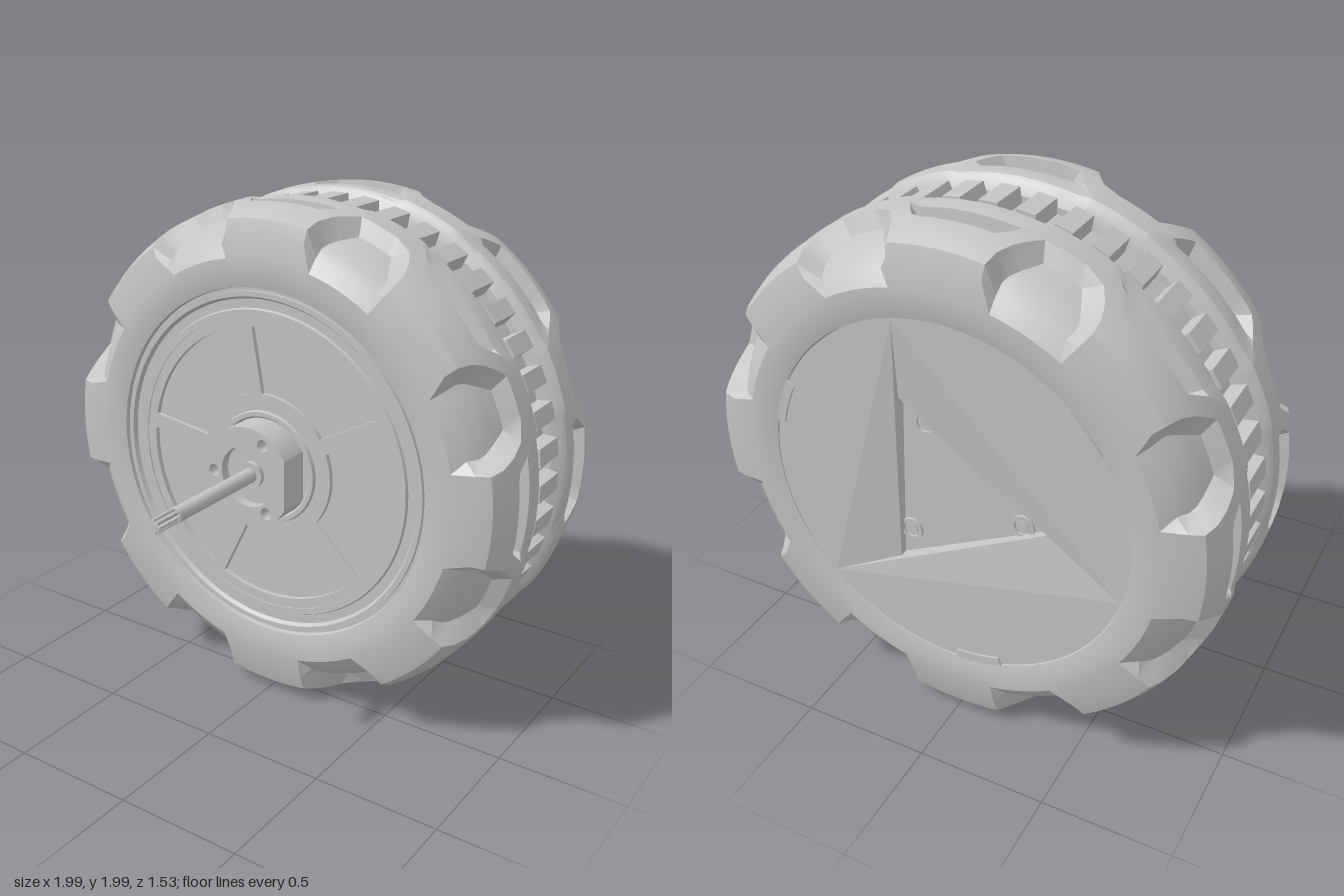
import * as THREE from 'three';
import { toCreasedNormals } from 'three/addons/utils/BufferGeometryUtils.js';

const grey = new THREE.MeshStandardMaterial({ color: 0xc4c4c4 });
grey.name = 'light grey plastic';
const TAU = Math.PI * 2, RAD = Math.PI / 180, LUGS = 8;

function add(parent, name, geometry, x = 0, y = 0, z = 0) {
  const mesh = new THREE.Mesh(geometry, grey);
  mesh.name = name;
  mesh.position.set(x, y, z);
  parent.add(mesh);
  return mesh;
}

// Cylinder along z, from z0 to z1
function rod(parent, name, r, z0, z1, x = 0, y = 0, sides = 48) {
  const g = new THREE.CylinderGeometry(r, r, z1 - z0, sides).rotateX(Math.PI / 2);
  return add(parent, name, g, x, y, (z0 + z1) / 2);
}

// Profile of [radius, z] turned about the z axis, listed from outside to centre
function turned(parent, name, profile) {
  const g = new THREE.LatheGeometry(profile.map(p => new THREE.Vector2(...p)), 96).rotateX(Math.PI / 2);
  return add(parent, name, toCreasedNormals(g, 0.4));
}

function disc(r) {
  return new THREE.Shape().absarc(0, 0, r, 0, TAU, false);
}

function circleHole(x, y, r) {
  return new THREE.Path().absarc(x, y, r, 0, TAU, true);
}

function extrude(shape, depth, curveSegments = 48) {
  return new THREE.ExtrudeGeometry(shape, { depth, bevelEnabled: false, curveSegments });
}

// Ring sector with edges parallel to its middle spokes
function sector(path, r0, r1, a0, a1, gap) {
  const o = gap / r1, i = gap / r0;
  path.absarc(0, 0, r1, a0 + o, a1 - o, false);
  path.absarc(0, 0, r0, a1 - i, a0 + i, true);
  path.closePath();
  return path;
}

// Tyre half: rows run from the rim over the shoulder and crown to the inner wall.
// Each row: radius, z, pocket depth, pocket half angle, notch half angle, notch floor radius and z.
// The pocket is a slot closed towards the middle by a slightly lower bar.
const ROWS = [
  [0.695, 0.09, 0, 9, 11, 0.695, 0.09],
  [0.70, 0.118, 0, 9, 11, 0.70, 0.118],
  [0.75, 0.13, 0, 9, 11, 0.75, 0.13],
  [0.81, 0.128, 0, 9, 11, 0.81, 0.128],
  [0.90, 0.115, 0, 9, 11.5, 0.86, 0.092],
  [0.95, 0.10, 0, 8.5, 11.8, 0.888, 0.055],
  [0.975, 0.05, 0, 8.5, 11.2, 0.904, 0.03],
  [0.99, 0.00, 0, 8.5, 9.8, 0.92, 0.00],
  [0.993, -0.02, 0, 8.7, 9, 0.926, -0.02],
  [0.995, -0.03, 0.075, 9.2, 8.6, 0.93, -0.03],
  [0.998, -0.06, 0.08, 10.5, 7.4, 0.94, -0.06],
  [1.00, -0.09, 0.085, 11.6, 6, 1.00, -0.09],
  [1.00, -0.105, 0.085, 12.2, 5.5, 1.00, -0.105],
  [1.00, -0.115, 0.012, 12.6, 5.2, 1.00, -0.115],
  [1.002, -0.15, 0.008, 14, 4.5, 1.002, -0.15],
  [1.00, -0.19, 0.008, 15.5, 4, 1.00, -0.19],
  [0.985, -0.205, 0.005, 16, 4, 0.985, -0.205],
  [0.94, -0.226, 0, 16, 4, 0.94, -0.226],
  [0.85, -0.228, 0, 16, 4, 0.85, -0.228],
];

function tyreGeometry() {
  const pos = [], index = [];
  let cols = 0;
  for (const [r, z, depth, pocket, notch, fr, fz] of ROWS) {
    const rim = 22.5 - notch;
    // Half of one lug: pocket floor, pocket wall, ridge, notch wall, notch floor
    const keys = [[0, r - depth, z], [pocket - 1.8, r - depth, z], [pocket, r, z],
      [rim, r, z], [rim + 3, fr, fz], [22.5, fr, fz]];
    const half = [];
    for (let k = 0; k < 5; k++) {
      half.push(keys[k]);
      // Steep walls stay flat; the rest follows the curve
      const steps = k === 1 || k === 3 ? [] : [1 / 3, 2 / 3];
      for (const t of steps) half.push(keys[k].map((v, n) => v + (keys[k + 1][n] - v) * t));
    }
    half.push(keys[5]);
    const mirrored = half.slice(1, -1).reverse().map(([a, b, c]) => [-a, b, c]);
    const lug = [...mirrored, ...half];
    cols = lug.length * LUGS;
    for (let n = 0; n < LUGS; n++) for (const [a, rr, zz] of lug) {
      const t = (a + n * 45) * RAD;
      pos.push(rr * Math.cos(t), rr * Math.sin(t), zz);
    }
  }
  for (let i = 0; i < ROWS.length - 1; i++) for (let j = 0; j < cols; j++) {
    const k = (j + 1) % cols, a = i * cols + j, b = i * cols + k, c = b + cols, d = a + cols;
    index.push(a, d, c, a, c, b);
  }
  const g = new THREE.BufferGeometry();
  g.setAttribute('position', new THREE.Float32BufferAttribute(pos, 3));
  g.setIndex(index);
  return toCreasedNormals(g, 0.42);
}

function gearGeometry() {
  const shape = new THREE.Shape(), teeth = 44;
  for (let i = 0; i < teeth; i++) {
    for (const [f, r] of [[-0.32, 0.92], [-0.25, 0.978], [0.25, 0.978], [0.32, 0.92]]) {
      const a = (i + f) / teeth * TAU;
      if (i === 0 && f === -0.32) shape.moveTo(r * Math.cos(a), r * Math.sin(a));
      else shape.lineTo(r * Math.cos(a), r * Math.sin(a));
    }
  }
  shape.closePath();
  return extrude(shape, 0.16);
}

function buildFrontHub(wheel) {
  // Rim rings around the front plate
  turned(wheel, 'frontRim', [[0.70, 0.10], [0.685, 0.10], [0.685, 0.115], [0.665, 0.115],
    [0.655, 0.10], [0.62, 0.10], [0.615, 0.11], [0.59, 0.11], [0.59, 0.07]]);
  // Plate with five recessed windows
  const plate = disc(0.592);
  for (let i = 0; i < 5; i++) {
    const a = (100 + 72 * i) * RAD;
    plate.holes.push(sector(new THREE.Path(), 0.29, 0.55, a, a + 72 * RAD, 0.03));
  }
  add(wheel, 'frontPlate', extrude(plate, 0.03), 0, 0, 0.075);
  rod(wheel, 'windowFloor', 0.6, 0.03, 0.085, 0, 0, 96);
  turned(wheel, 'hubCollar', [[0.228, 0.10], [0.222, 0.118], [0.205, 0.118], [0.19, 0.10]]);

  // Hub with a flat on one side, a central cup and three bolt holes
  const flat = Math.acos(0.17 / 0.197);
  const hub = new THREE.Shape().absarc(0, 0, 0.197, flat, TAU - flat, false);
  hub.closePath();
  hub.holes.push(circleHole(0, 0, 0.12));
  for (const a of [63, 183, 303]) {
    hub.holes.push(circleHole(0.157 * Math.cos(a * RAD), 0.157 * Math.sin(a * RAD), 0.024));
  }
  add(wheel, 'hub', extrude(hub, 0.13), 0, 0, 0.10);
  rod(wheel, 'hubFloor', 0.125, 0.09, 0.19);
  rod(wheel, 'axleBoss', 0.05, 0.18, 0.21);

  // Axle with a splined tip
  rod(wheel, 'axle', 0.029, 0.18, 0.66, 0, 0, 24);
  const spline = new THREE.Shape();
  for (let i = 0; i < 32; i++) {
    const a = i / 32 * TAU, r = i % 4 < 2 ? 0.028 : 0.02;
    spline[i ? 'lineTo' : 'moveTo'](r * Math.cos(a), r * Math.sin(a));
  }
  spline.closePath();
  add(wheel, 'axleSpline', extrude(spline, 0.12), 0, 0, 0.65);
}

function buildBackCover(side) {
  const corner = (r, deg, z) => [r * Math.cos(deg * RAD), r * Math.sin(deg * RAD), z];
  const outer = [0, 1, 2].map(k => corner(0.69, 104 + 120 * k, 0.118));
  const ramp = [0, 1, 2].map(k => corner(0.40, 117 + 120 * k, 0.085));
  const floor = [0, 1, 2].map(k => corner(0.40, 117 + 120 * k, 0.055));

  // Cover with a triangular opening
  const cover = disc(0.695);
  cover.holes.push(new THREE.Path(outer.map(p => new THREE.Vector2(p[0], p[1]))));
  add(side, 'backCover', new THREE.ShapeGeometry(cover, 96), 0, 0, 0.118);

  // Pinwheel recess: floor, three ramps and the steep wall under each ramp
  const pos = [...floor.flat()];
  for (let k = 0; k < 3; k++) {
    const n = (k + 1) % 3;
    pos.push(...outer[k], ...outer[n], ...ramp[n]);
    pos.push(...outer[k], ...ramp[n], ...floor[n], ...outer[k], ...floor[n], ...floor[k]);
  }
  const recess = new THREE.BufferGeometry();
  recess.setAttribute('position', new THREE.Float32BufferAttribute(pos, 3));
  recess.computeVertexNormals();
  add(side, 'coverRecess', recess);

  for (let k = 0; k < 3; k++) {
    // Screw in a raised socket
    const [x, y] = corner(0.28, 110 + 120 * k, 0);
    const socket = disc(0.045);
    socket.holes.push(circleHole(0, 0, 0.033));
    add(side, 'screwSocket', extrude(socket, 0.02, 24), x, y, 0.045);
    rod(side, 'screwHead', 0.024, 0.04, 0.06, x, y, 6);
    // Clip at the cover edge
    const a = (40 + 120 * k) * RAD;
    const clip = sector(new THREE.Shape(), 0.665, 0.70, a - 0.13, a + 0.13, 0);
    add(side, 'coverClip', extrude(clip, 0.012, 12), 0, 0, 0.114);
  }
}

export function createModel() {
  const model = new THREE.Group();
  model.name = 'wheel';
  const wheel = new THREE.Group();
  wheel.name = 'wheelAssembly';
  wheel.position.y = 1;
  model.add(wheel);

  // Two matching tyre halves facing away from each other
  const tyre = tyreGeometry();
  add(wheel, 'frontTyre', tyre);
  const back = new THREE.Group();
  back.name = 'backSide';
  back.position.z = -0.635;
  back.rotation.y = Math.PI;
  wheel.add(back);
  add(back, 'backTyre', tyre);

  // Toothed ring and core between the halves
  add(wheel, 'toothedRing', gearGeometry(), 0, 0, -0.3975);
  rod(wheel, 'core', 0.88, -0.435, -0.2, 0, 0, 96);

  buildFrontHub(wheel);
  buildBackCover(back);
  return model;
}
